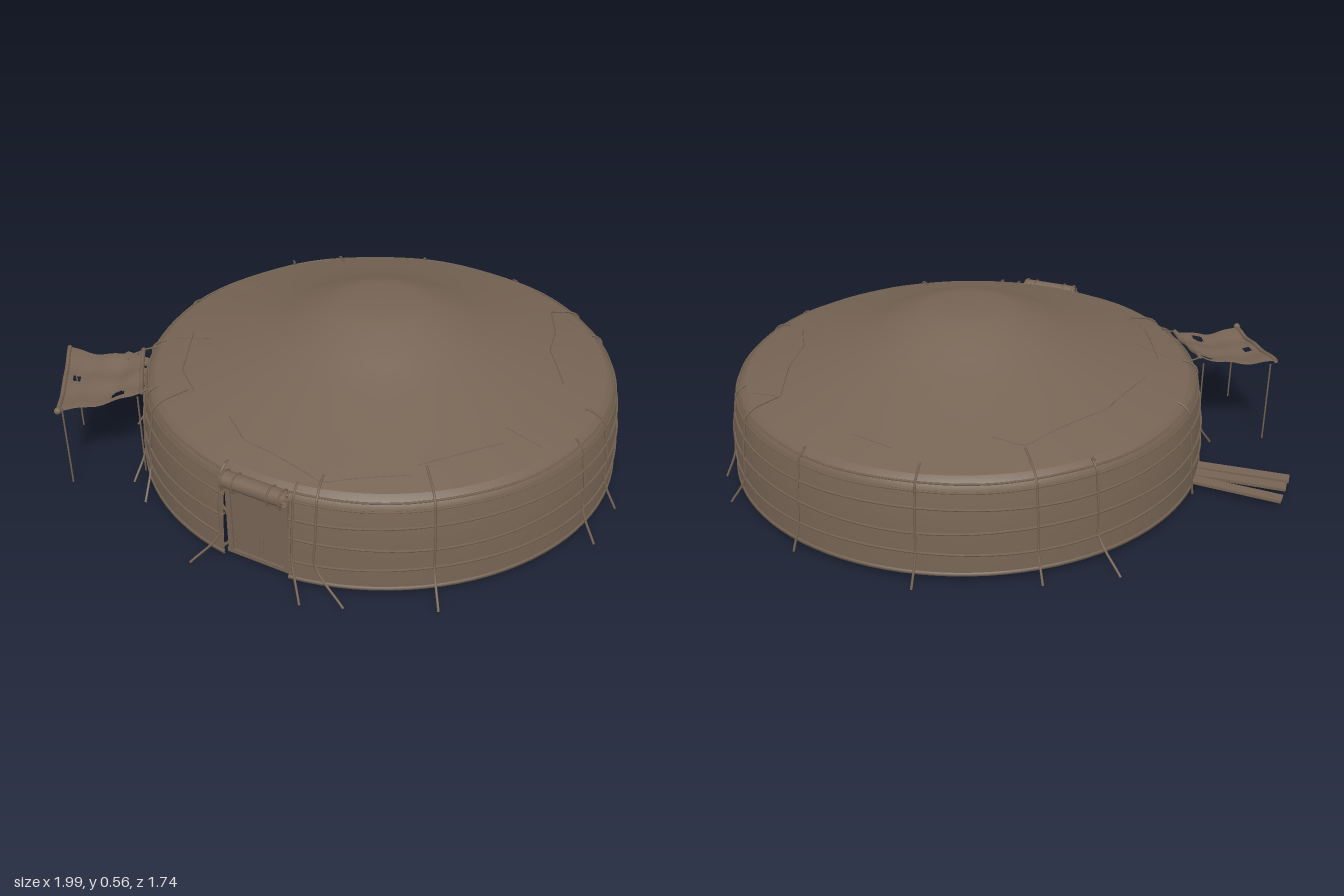
import * as THREE from 'three';
import { mergeGeometries } from 'three/addons/utils/BufferGeometryUtils.js';

const brown = new THREE.MeshStandardMaterial({ color: 0x766454, side: THREE.DoubleSide });
brown.name = 'weathered brown';

const V = (x, y, z) => new THREE.Vector3(x, y, z);
const CX = 0.12, CZ = -0.02, DOOR = 0.14; // tent centre, half angle of the doorway

// [radius, height] profiles
const wallPts = [[0.822, 0.03], [0.82, 0.1], [0.816, 0.18], [0.808, 0.25], [0.797, 0.3]];
const eavePts = [[0.8, 0.29], [0.797, 0.31], [0.787, 0.328], [0.765, 0.343]];
const roofPts = [[0.765, 0.343], [0.69, 0.365], [0.55, 0.406], [0.38, 0.463], [0.26, 0.515], [0.16, 0.552], [0.08, 0.563], [0, 0.566]];
const roofSamples = new THREE.SplineCurve(roofPts.map(p => new THREE.Vector2(...p))).getPoints(32).map(p => [p.x, p.y]);

function lerpTable(table, key, value, at) {
  for (let i = 0; i < table.length - 1; i++) {
    const a = table[i], b = table[i + 1];
    const t = (at - a[key]) / (b[key] - a[key]);
    if (t >= 0 && t <= 1) return a[value] + t * (b[value] - a[value]);
  }
  return table[table.length - 1][value];
}
const wallR = y => lerpTable(wallPts, 1, 0, y);
const roofY = r => lerpTable(roofSamples, 0, 1, Math.min(r, 0.7649));
// Point at an angle measured from the front towards +x
const polar = (a, r, y) => V(CX + r * Math.sin(a), y, CZ + r * Math.cos(a));
const onRoof = (x, z) => V(x, roofY(Math.hypot(x - CX, z - CZ)) + 0.0005, z);

function tube(points, r, segs = points.length * 3, sides = 5, closed = false) {
  return new THREE.TubeGeometry(new THREE.CatmullRomCurve3(points, closed, 'centripetal'), segs, r, sides, closed);
}
function box(w, h, d, x, y, z) {
  return new THREE.BoxGeometry(w, h, d).translate(x, y, z);
}

export function createModel() {
  const model = new THREE.Group();
  const add = (name, geo) => {
    const mesh = new THREE.Mesh(Array.isArray(geo) ? mergeGeometries(geo) : geo, brown);
    mesh.name = name;
    model.add(mesh);
    return mesh;
  };
  const lathe = (name, pts, start = 0, length = Math.PI * 2) =>
    add(name, new THREE.LatheGeometry(pts.map(p => new THREE.Vector2(p[0], p[1])), 96, start, length).translate(CX, 0, CZ));

  // Felt shell, with the doorway left open
  lathe('wall', wallPts, DOOR, Math.PI * 2 - DOOR * 2);
  lathe('baseBand', [[0.818, 0.03], [0.826, 0.03], [0.825, 0.04], [0.818, 0.041]], DOOR, Math.PI * 2 - DOOR * 2);
  lathe('eave', eavePts);
  lathe('roof', roofSamples);

  // Girth ropes, the top ones running all the way round
  const rings = [];
  for (const y of [0.103, 0.176, 0.25]) {
    const pts = [];
    for (let i = 0; i <= 64; i++) {
      const a = DOOR + (Math.PI * 2 - DOOR * 2) * i / 64;
      const yy = y + 0.004 * Math.sin(a * 5 + y * 40);
      pts.push(polar(a, wallR(yy) + 0.002, yy));
    }
    rings.push(tube(pts, 0.004, 128));
  }
  for (const [r, y] of [[0.8, 0.304], [0.789, 0.328]]) {
    const pts = [];
    for (let i = 0; i < 48; i++) pts.push(polar(i * Math.PI / 24, r, y + 0.002 * Math.sin(i * 1.3)));
    rings.push(tube(pts, 0.0035, 128, 5, true));
  }
  add('girthRopes', rings);

  // Tie ropes: wall angle, ground end x and z, radius of the end on the roof
  const ties = [
    [193.5, -0.08, -0.87, 0.73], [165, 0.345, -0.84, 0.77], [141, 0.69, -0.68, 0.68], [128, 0.8, -0.55, 0.76],
    [90, 0.99, -0.02, 0.73], [78, 0.985, 0.185, 0.77], [38.5, 0.68, 0.69, 0.68], [14, 0.43, 0.81, 0.72],
    [9, 0.31, 0.86, 0.76], [-9, -0.08, 0.86, 0.77], [-39, -0.38, 0.69, 0.68], [-46, -0.48, 0.62, 0.76],
    [-68, -0.68, 0.34, 0.75], [-92, -0.71, -0.03, 0.76], [-127, -0.63, -0.57, 0.79], [-141, -0.43, -0.7, 0.68],
  ];
  add('tieRopes', ties.map(([deg, x, z, r]) => {
    const a = deg * Math.PI / 180;
    const pts = [polar(a, r, roofY(r) + 0.004), polar(a, 0.77, 0.347), polar(a, 0.8, 0.322)];
    for (const y of [0.29, 0.2, 0.1]) pts.push(polar(a, wallR(y) + 0.005, y));
    pts.push(V(x, 0.008, z));
    return tube(pts, 0.004, 28);
  }));

  // Thin seams on the roof
  const seams = [
    [[-0.2, -0.55], [-0.3, -0.54], [-0.46, -0.25], [-0.51, 0.02]],
    [[0.55, -0.55], [0.67, -0.53]],
    [[0.55, -0.54], [0.62, -0.38], [0.65, -0.24], [0.75, -0.09]],
    [[-0.5, 0.2], [-0.39, 0.42], [-0.28, 0.51]],
    [[-0.1, 0.58], [0, 0.65], [0.3, 0.7], [0.52, 0.56]],
    [[0.52, 0.52], [0.59, 0.44], [0.7, 0.3]],
    [[0.06, -0.7], [0.2, -0.68]],
    [[0.68, 0.24], [0.8, 0.24]], [[-0.55, 0.24], [-0.4, 0.24]],
  ];
  add('roofSeams', seams.map(line => {
    const pts = [];
    for (let i = 0; i < line.length - 1; i++) for (let k = 0; k < 4; k++) {
      const t = k / 4, [p, q] = [line[i], line[i + 1]];
      pts.push(onRoof(p[0] + t * (q[0] - p[0]), p[1] + t * (q[1] - p[1])));
    }
    pts.push(onRoof(...line[line.length - 1]));
    return tube(pts, 0.0015, pts.length * 2, 4);
  }));

  // Door leaf with panels on the inside, frame and rolled flap above
  add('door', box(0.185, 0.265, 0.012, CX, 0.163, 0.768));
  const frame = [box(0.225, 0.018, 0.03, CX, 0.3, 0.765), box(0.225, 0.014, 0.03, CX, 0.037, 0.765)];
  const panels = [];
  for (const s of [-1, 1]) {
    frame.push(box(0.018, 0.27, 0.03, CX + s * 0.1, 0.165, 0.765));
    for (const y of [0.1, 0.225]) panels.push(box(0.07, 0.09, 0.008, CX + s * 0.043, y, 0.759));
  }
  add('doorFrame', frame);
  add('doorPanels', panels);
  add('doorBattens', [[-0.08, 0.085], [0, 0.08], [0.015, 0.095]].map(([x, y]) =>
    box(0.004, 0.065, 0.002, CX + x, y, 0.775)));
  // The flap is a sheet wound into a spiral
  const spiral = [];
  for (let i = 0; i <= 48; i++) {
    const a = i / 48 * Math.PI * 5, r = 0.03 - 0.02 * i / 48;
    spiral.push([0.315 + r * Math.sin(a), 0.785 - r * Math.cos(a)]);
  }
  const flap = new THREE.PlaneGeometry(0.215, 1, 1, 48);
  spiral.forEach(([y, z], i) => {
    for (const k of [0, 1]) flap.attributes.position.setXYZ(i * 2 + k, CX + (k - 0.5) * 0.215, y, z);
  });
  flap.computeVertexNormals();
  add('rolledFlap', flap);
  add('flapTies', [-0.1, -0.06, 0.06, 0.1].map(x =>
    new THREE.TorusGeometry(0.03, 0.003, 5, 18).rotateY(Math.PI / 2).translate(CX + x, 0.315, 0.785)));

  // Lattice lining the wall, cut off at the doorway
  const slats = [], count = 84, span = 0.34;
  for (const dir of [1, -1]) for (let i = 0; i < count; i++) {
    const pts = [];
    for (let k = 0; k <= 8; k++) {
      const a = i / count * Math.PI * 2 + dir * span * (k / 8 - 0.5);
      const y = 0.035 + 0.275 * k / 8;
      const off = Math.abs(Math.atan2(Math.sin(a), Math.cos(a)));
      if (off > DOOR) pts.push(polar(a, wallR(y) - (dir > 0 ? 0.014 : 0.022), y));
    }
    if (pts.length > 1) slats.push(tube(pts, 0.005, pts.length, 4));
  }
  add('wallLattice', slats);

  // Flat roof poles in two straight lengths, crown ring and posts
  const poles = [];
  for (let i = 0; i < 60; i++) for (const [r0, r1] of [[0.17, 0.4], [0.4, 0.77]]) {
    const y0 = roofY(r0) - 0.014, y1 = roofY(r1) - 0.014;
    poles.push(new THREE.BoxGeometry(0.016, 0.009, Math.hypot(r1 - r0, y1 - y0))
      .rotateX(Math.atan2(y0 - y1, r1 - r0))
      .translate(0, (y0 + y1) / 2, (r0 + r1) / 2)
      .rotateY(i * Math.PI / 30)
      .translate(CX, 0, CZ));
  }
  add('roofPoles', poles);
  add('crownRing', new THREE.TorusGeometry(0.172, 0.015, 8, 40).rotateX(Math.PI / 2).translate(CX, 0.515, CZ));
  const posts = [], crown = [];
  for (const sx of [-1, 1]) {
    for (const sz of [-1, 1]) posts.push(new THREE.CylinderGeometry(0.009, 0.009, 0.48, 8).translate(CX + sx * 0.122, 0.27, CZ + sz * 0.122));
    crown.push(box(0.33, 0.012, 0.014, CX, 0.53, CZ + sx * 0.04), box(0.014, 0.012, 0.33, CX + sx * 0.04, 0.53, CZ));
  }
  add('centrePosts', posts);
  add('crownBars', crown);

  // Loose planks on the ground
  for (const [z0, z1] of [[0.008, 0.014], [0.088, 0.06], [0.145, 0.112]]) {
    const plank = add('plank', new THREE.BoxGeometry(0.31, 0.01, 0.042));
    plank.position.set(-0.845, 0.036, (z0 + z1) / 2);
    plank.rotation.y = Math.atan2(z0 - z1, 0.31);
  }

  // Torn awning cloth hung between four corners
  const corners = [V(-0.87, 0.33, 0.43), V(-0.62, 0.34, 0.335), V(-0.665, 0.305, 0.735), V(-0.47, 0.33, 0.545)];
  const holes = [[0.14, 0.45, 0.06, 0.05], [0.7, 0.85, 0.09, 0.07], [0.87, 0.1, 0.08, 0.04]];
  const n = 32, cloth = new THREE.PlaneGeometry(1, 1, n, n), pos = cloth.attributes.position;
  const clothPoint = (u0, v0) => {
    const u = u0 + (0.5 - u0) * 0.1 * v0 * (1 - v0), v = v0 + (0.5 - v0) * 0.2 * u0 * (1 - u0);
    const p = corners[0].clone().lerp(corners[1], u).lerp(corners[2].clone().lerp(corners[3], u), v);
    p.y += -0.08 * u * (1 - u) - 0.03 * v * (1 - v) + 0.004 * Math.sin(u * 13 + v * 5) + 0.003 * Math.sin(v * 15);
    return p;
  };
  const keep = [];
  for (let j = 0; j <= n; j++) for (let i = 0; i <= n; i++) {
    const p = clothPoint(i / n, j / n), id = j * (n + 1) + i;
    pos.setXYZ(id, p.x, p.y, p.z);
    const torn = holes.some(([u, v, a, b]) => ((i + 0.5) / n - u) ** 2 / a ** 2 + ((j + 0.5) / n - v) ** 2 / b ** 2 < 1);
    if (i < n && j < n && !torn) keep.push(id, id + n + 1, id + 1, id + n + 1, id + n + 2, id + 1);
  }
  cloth.setIndex(keep);
  cloth.computeVertexNormals();
  add('awningCloth', cloth);
  // Rolled hems along two edges, thin poles and cords to the tent
  const along = f => Array.from({ length: 9 }, (_, k) => f(k / 8));
  add('awningHems', [0, 1].map(u => tube(along(t => clothPoint(u, t)), 0.008, 24, 6)));
  add('awningPoles', [[-0.85, 0.44], [-0.66, 0.72], [-0.63, 0.35], [-0.485, 0.55]].map(([x, z]) =>
    new THREE.CylinderGeometry(0.003, 0.003, 0.3, 5).translate(x, 0.16, z)));
  add('awningCords', [
    tube([corners[1], V(-0.58, 0.34, 0.28), V(-0.5, 0.37, 0.2)], 0.003),
    tube([corners[3], V(-0.44, 0.34, 0.5), V(-0.36, 0.37, 0.42)], 0.003),
  ]);
  add('awningKnot', new THREE.SphereGeometry(0.012, 10, 8).translate(-0.665, 0.305, 0.735));

  return model;
}
